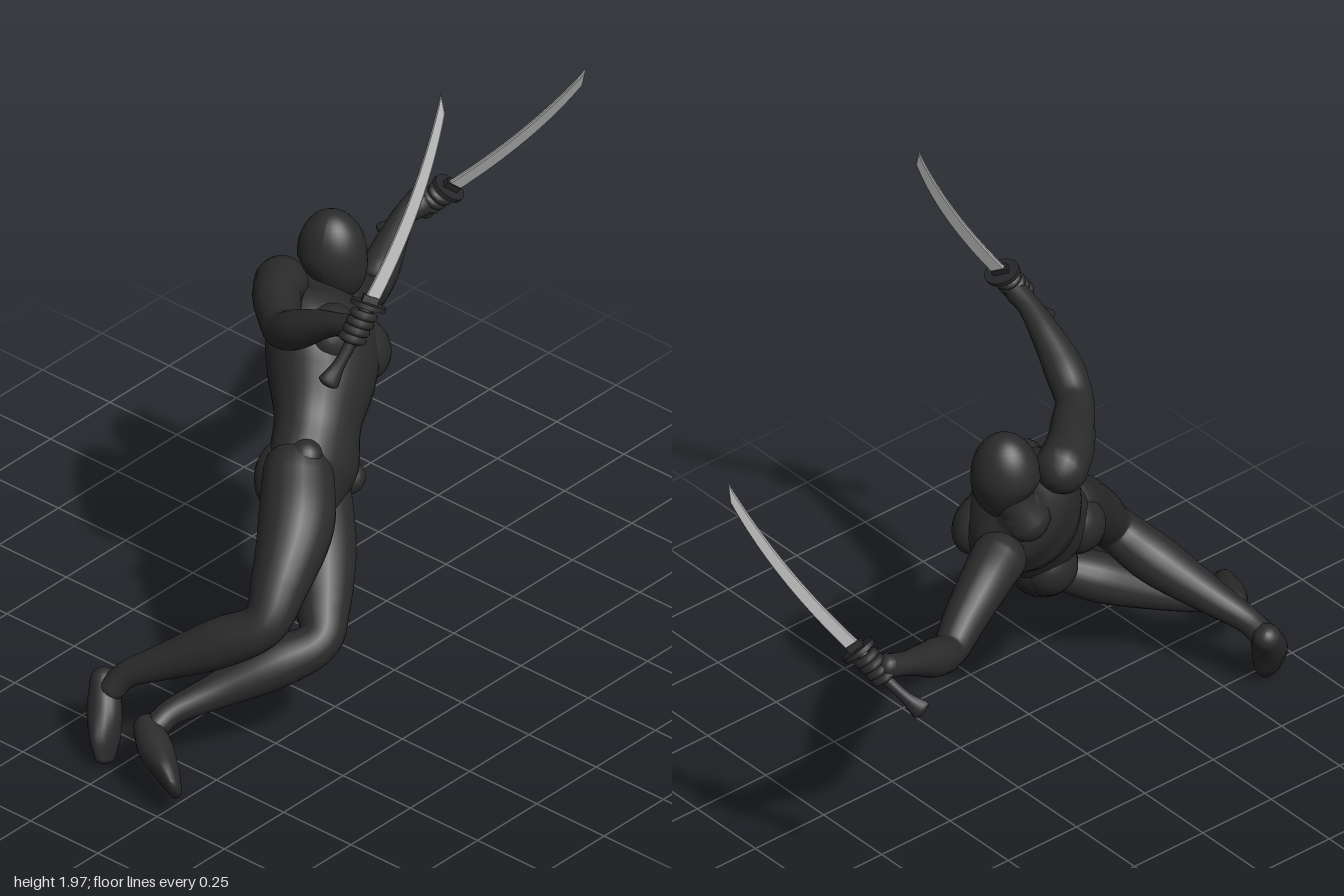
import * as THREE from 'three';

const V = (x, y, z) => new THREE.Vector3(x, y, z);

const suit = new THREE.MeshStandardMaterial({ color: 0x2b2b2b });
suit.name = 'charcoal suit';
const steel = new THREE.MeshStandardMaterial({ color: 0xb4b4b4 });
steel.name = 'blade steel';
const grip = new THREE.MeshStandardMaterial({ color: 0x27272a });
grip.name = 'dark grip';

// Body axes: the figure leans, with its chest turned towards +x
const UP = V(-0.48, 0.66, -0.57).normalize();
const SIDE = V(0.08, 0.57, 0.81).addScaledVector(UP, 0.12).normalize();
const FRONT = UP.clone().cross(SIDE).normalize();

function add(parent, name, geometry, material) {
  const mesh = new THREE.Mesh(geometry, material);
  mesh.name = name;
  parent.add(mesh);
  return mesh;
}

// Smooth closed skin through elliptical sections [x, y, z, halfWidth, halfDepth]
function loft(sections, side, steps = 6, around = 20) {
  const path = new THREE.CatmullRomCurve3(sections.map(s => V(s[0], s[1], s[2])));
  const sizes = new THREE.CatmullRomCurve3(
    sections.map(s => V(s[3], s[4] ?? s[3], 0)), false, 'catmullrom', 0.5);
  const n = (sections.length - 1) * steps;
  const rings = [];
  const ring = (t, angle, dir) => {
    const size = sizes.getPoint(t), tangent = path.getTangent(t);
    const r = Math.min(size.x, size.y) * 0.85;
    const c = path.getPoint(t).addScaledVector(tangent, dir * r * Math.sin(angle));
    const k = Math.max(Math.cos(angle), 0.001);
    rings.push({ c, tangent, a: size.x * k, b: size.y * k });
  };
  for (const deg of [90, 72, 50, 25]) ring(0, deg * Math.PI / 180, -1);
  for (let i = 0; i <= n; i++) ring(i / n, 0, 0);
  for (const deg of [25, 50, 72, 90]) ring(1, deg * Math.PI / 180, 1);

  const pos = [], index = [];
  rings.forEach(({ c, tangent, a, b }, i) => {
    const s = side.clone().addScaledVector(tangent, -side.dot(tangent)).normalize();
    const d = tangent.clone().cross(s);
    for (let j = 0; j < around; j++) {
      const q = j / around * Math.PI * 2;
      const p = c.clone().addScaledVector(s, a * Math.cos(q)).addScaledVector(d, b * Math.sin(q));
      pos.push(p.x, p.y, p.z);
      if (i < rings.length - 1) {
        const k = (j + 1) % around, lo = i * around, hi = lo + around;
        index.push(lo + j, lo + k, hi + j, lo + k, hi + k, hi + j);
      }
    }
  });
  const g = new THREE.BufferGeometry();
  g.setAttribute('position', new THREE.Float32BufferAttribute(pos, 3));
  g.setIndex(index);
  g.computeVertexNormals();
  return g;
}

// Ellipsoid muscle aligned with the body axes; offsets and radii are side, up, front
function muscle(parent, name, centre, off, radii) {
  const g = new THREE.SphereGeometry(1, 24, 16).scale(radii[0], radii[1], radii[2]);
  g.applyMatrix4(new THREE.Matrix4().makeBasis(SIDE.clone().negate(), UP, FRONT));
  const m = add(parent, name, g, suit);
  m.position.copy(centre).addScaledVector(SIDE, off[0])
    .addScaledVector(UP, off[1]).addScaledVector(FRONT, off[2]);
}

// Curved sword with the fist around its handle; local y runs to the tip, x to the edge
function sword(name, base, tip, edgeHint) {
  const group = new THREE.Group();
  group.name = name;
  const y = tip.clone().sub(base);
  const len = y.length();
  y.normalize();
  const x = edgeHint.clone().addScaledVector(y, -edgeHint.dot(y)).normalize();
  const z = x.clone().cross(y);

  const blade = new THREE.Shape();
  blade.moveTo(-0.02, 0);
  blade.lineTo(0.022, 0);
  blade.quadraticCurveTo(0.07, len * 0.5, 0.03, len * 0.92);
  blade.lineTo(0, len);
  blade.quadraticCurveTo(0.034, len * 0.5, -0.02, 0);
  const bladeGeo = new THREE.ExtrudeGeometry(blade, {
    depth: 0.006, bevelEnabled: true, bevelThickness: 0.004, bevelSize: 0.003,
    bevelOffset: -0.003, bevelSegments: 1, curveSegments: 16 });
  add(group, 'blade', bladeGeo.translate(0, 0, -0.003), steel);

  const collar = add(group, 'bladeCollar', new THREE.BoxGeometry(0.046, 0.03, 0.022), grip);
  collar.position.y = 0.012;
  const guard = add(group, 'guard', new THREE.CylinderGeometry(0.052, 0.052, 0.014, 20), grip);
  guard.scale.z = 0.8;

  const handle = [[0, 0, 0, 0.02, 0.015], [-0.01, -0.1, 0, 0.018, 0.014],
    [-0.024, -0.185, 0, 0.018, 0.014], [-0.036, -0.24, 0, 0.031, 0.018]];
  add(group, 'handle', loft(handle, V(1, 0, 0), 4, 12), grip);

  for (let i = 0; i < 4; i++) {
    const f = add(group, 'finger', new THREE.TorusGeometry(0.028, 0.0135, 8, 16), suit);
    f.rotation.x = Math.PI / 2;
    f.scale.y = 0.9;
    f.position.set(-0.004 - i * 0.003, -0.03 - i * 0.024, 0);
  }
  group.applyMatrix4(new THREE.Matrix4().makeBasis(x, y, z).setPosition(base));
  return group;
}

export function createModel() {
  const model = new THREE.Group();
  model.name = 'swordFighter';

  // Torso and neck
  add(model, 'torso', loft([
    [-0.135, 1.075, -0.105, 0.07, 0.06], [-0.095, 1.03, -0.07, 0.165, 0.11],
    [-0.025, 0.97, -0.008, 0.19, 0.15], [0.028, 0.893, 0.057, 0.167, 0.145],
    [0.078, 0.815, 0.13, 0.138, 0.118], [0.125, 0.73, 0.2, 0.155, 0.115],
    [0.155, 0.67, 0.25, 0.11, 0.09]], SIDE, 6, 28), suit);
  add(model, 'neck', loft([[-0.14, 1.04, -0.09, 0.07], [-0.125, 1.1, -0.115, 0.058],
    [-0.11, 1.16, -0.13, 0.057]], SIDE), suit);

  const chest = V(-0.02, 0.965, -0.01), pelvis = V(0.14, 0.7, 0.215);
  for (const s of [-1, 1]) {
    muscle(model, 'chestMuscle', chest, [s * 0.085, 0, 0.075], [0.1, 0.09, 0.075]);
    muscle(model, 'buttock', pelvis, [s * 0.07, -0.01, -0.06], [0.085, 0.11, 0.08]);
    muscle(model, 'hipBone', pelvis, [s * 0.125, 0.03, 0.04], [0.045, 0.05, 0.05]);
  }

  // Head: egg shape narrowing to a chin that juts forward
  const headGeo = new THREE.SphereGeometry(1, 32, 24);
  const p = headGeo.attributes.position;
  for (let i = 0; i < p.count; i++) {
    const y = p.getY(i), low = Math.max(0, -y);
    const face = p.getZ(i) > 0 ? 1 : 1 - 0.45 * low;
    p.setXYZ(i, p.getX(i) * 0.091 * (1 - 0.24 * low), y * 0.138,
      p.getZ(i) * 0.1 * face + 0.018 * low);
  }
  headGeo.computeVertexNormals();
  const head = add(model, 'head', headGeo, suit);
  head.position.set(-0.095, 1.18, -0.128);
  head.rotation.y = Math.PI / 2 + 0.35;

  // Arms: deltoid, upper arm, elbow, forearm, wrist, palm
  add(model, 'raisedArm', loft([
    [-0.135, 1.15, 0.04, 0.077], [-0.085, 1.16, 0.115, 0.07], [-0.005, 1.165, 0.195, 0.062],
    [0.06, 1.18, 0.255, 0.055], [0.14, 1.23, 0.285, 0.057], [0.24, 1.295, 0.3, 0.043],
    [0.32, 1.335, 0.31, 0.033], [0.38, 1.35, 0.315, 0.042, 0.034]], UP), suit);
  add(model, 'outstretchedArm', loft([
    [-0.14, 0.955, -0.19, 0.08], [-0.175, 0.93, -0.27, 0.073], [-0.215, 0.87, -0.38, 0.062],
    [-0.25, 0.825, -0.465, 0.052], [-0.28, 0.85, -0.54, 0.056], [-0.31, 0.895, -0.63, 0.043],
    [-0.33, 0.93, -0.705, 0.034], [-0.325, 0.945, -0.76, 0.044, 0.036]], UP), suit);

  // Legs: thigh, knee, calf, ankle
  add(model, 'nearLeg', loft([
    [0.14, 0.76, 0.28, 0.1], [0.22, 0.665, 0.38, 0.108], [0.275, 0.555, 0.51, 0.084],
    [0.288, 0.465, 0.592, 0.066], [0.18, 0.385, 0.655, 0.072], [0.04, 0.3, 0.735, 0.052],
    [-0.05, 0.245, 0.79, 0.039], [-0.08, 0.2, 0.82, 0.038]], V(0, 0.7, 0.7)), suit);
  add(model, 'farLeg', loft([
    [0.11, 0.65, 0.17, 0.095], [0.22, 0.53, 0.275, 0.1], [0.315, 0.425, 0.375, 0.078],
    [0.358, 0.365, 0.44, 0.063], [0.29, 0.312, 0.55, 0.072], [0.19, 0.245, 0.7, 0.05],
    [0.13, 0.205, 0.81, 0.038], [0.12, 0.18, 0.86, 0.037]], V(0.28, 0.8, 0.52)), suit);

  // Feet: heel, instep, ball, toe
  add(model, 'nearFoot', loft([
    [-0.117, 0.212, 0.808, 0.04, 0.04], [-0.08, 0.145, 0.848, 0.05, 0.05],
    [-0.052, 0.075, 0.878, 0.06, 0.036], [-0.036, 0.028, 0.895, 0.044, 0.021]],
    V(0, 0.6, 0.8)), suit);
  add(model, 'farFoot', loft([
    [0.1, 0.178, 0.873, 0.04, 0.04], [0.165, 0.15, 0.91, 0.05, 0.05],
    [0.235, 0.118, 0.942, 0.06, 0.036], [0.284, 0.095, 0.966, 0.046, 0.021]],
    V(0.28, 0.8, 0.52)), suit);

  // A sword in each hand
  model.add(sword('raisedSword', V(0.4, 1.42, 0.28), V(0.4, 1.975, -0.025), V(0.7, -0.35, -0.6)));
  model.add(sword('outstretchedSword', V(-0.265, 0.99, -0.81), V(0.09, 1.45, -0.985), V(0.47, -0.66, -0.73)));
  return model;
}
